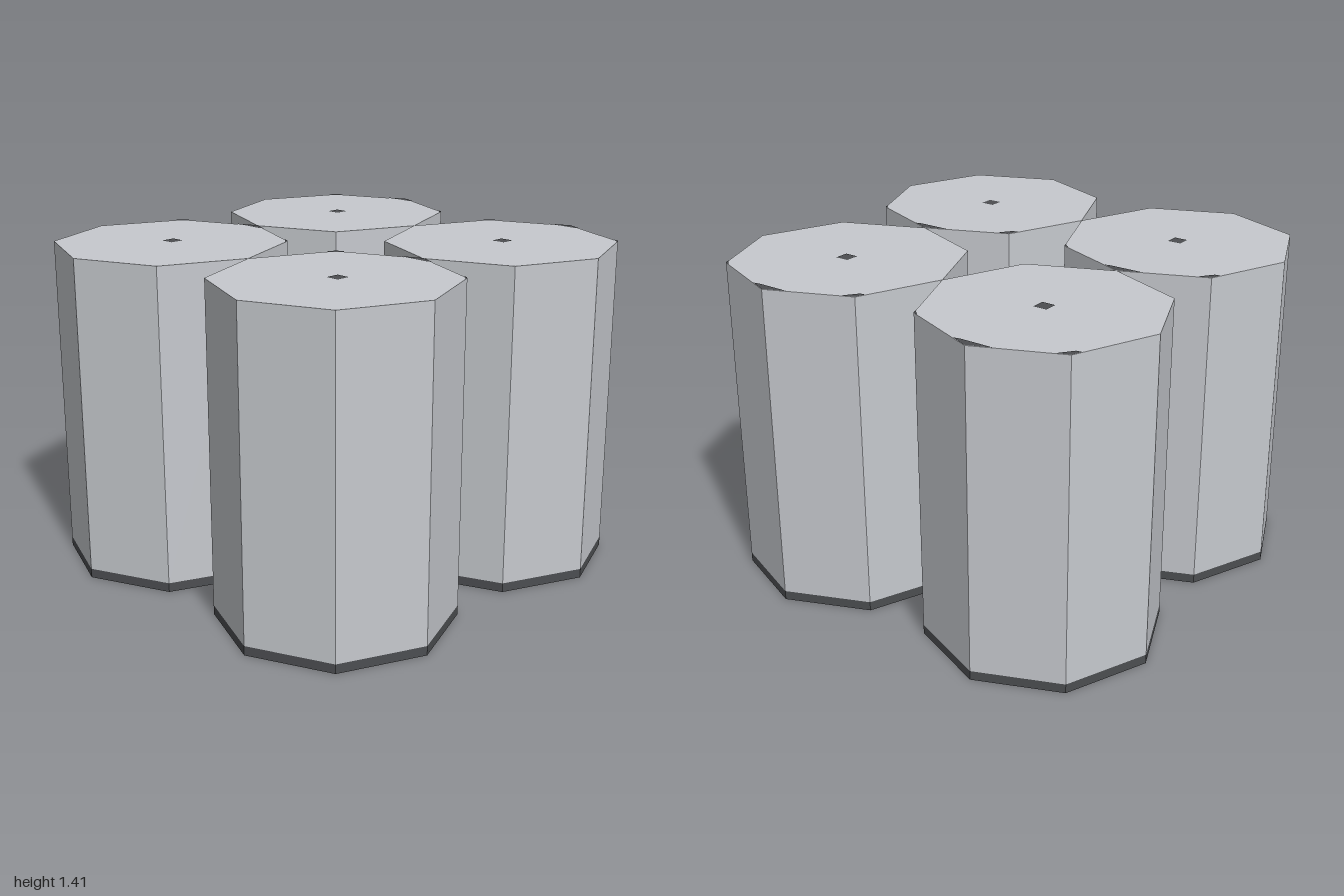
import * as THREE from 'three';

const RADIUS = 0.5, HEIGHT = 1.41, BAND = 0.04;

// Dark marks on each lid, as [x, z] outlines relative to the can's centre
const MARKS = {
  centreMark: [[-0.02, -0.03], [0.04, -0.03], [0.04, 0.03], [-0.02, 0.03]],
  sideMark: [[0.461, -0.094], [0.5, 0], [0.467, 0.078], [0.461, 0.05]],
  backCornerMark: [[0.312, -0.371], [0.354, -0.354], [0.375, -0.302], [0.315, -0.347]],
  frontCornerMark: [[0.332, 0.362], [0.354, 0.354], [0.365, 0.327]],
};

export function createModel() {
  const mat = (name, color) => {
    const m = new THREE.MeshStandardMaterial({ color, flatShading: true, side: THREE.DoubleSide });
    m.name = name;
    return m;
  };
  const grey = mat('light grey', 0xc6c9ce);
  const dark = mat('dark grey', 0x4c4e51);

  const add = (parent, name, geometry, material, y) => {
    const mesh = new THREE.Mesh(geometry, material);
    mesh.name = name;
    mesh.position.y = y;
    parent.add(mesh);
  };

  // Open octagonal tube standing on its own base
  const tube = (h) => new THREE.CylinderGeometry(RADIUS, RADIUS, h, 8, 1, true);
  const wall = tube(HEIGHT - BAND);
  const band = tube(BAND);
  const lid = new THREE.CircleGeometry(RADIUS, 8).rotateX(-Math.PI / 2);
  const marks = Object.entries(MARKS).map(([name, pts]) => {
    const shape = new THREE.Shape(pts.map(([x, z]) => new THREE.Vector2(x, -z)));
    return [name, new THREE.ShapeGeometry(shape).rotateX(-Math.PI / 2)];
  });

  // Four cans touching at their corners, open underneath
  const model = new THREE.Group();
  model.name = 'octagonalCans';
  for (const x of [-RADIUS, RADIUS]) {
    for (const z of [-RADIUS, RADIUS]) {
      const can = new THREE.Group();
      can.name = `${z > 0 ? 'front' : 'back'}${x > 0 ? 'Left' : 'Right'}Can`;
      can.position.set(x, 0, z);
      add(can, 'wall', wall, grey, (HEIGHT + BAND) / 2);
      add(can, 'bottomBand', band, dark, BAND / 2);
      add(can, 'lid', lid, grey, HEIGHT);
      for (const [name, geometry] of marks) add(can, name, geometry, dark, HEIGHT + 0.002);
      model.add(can);
    }
  }
  return model;
}
